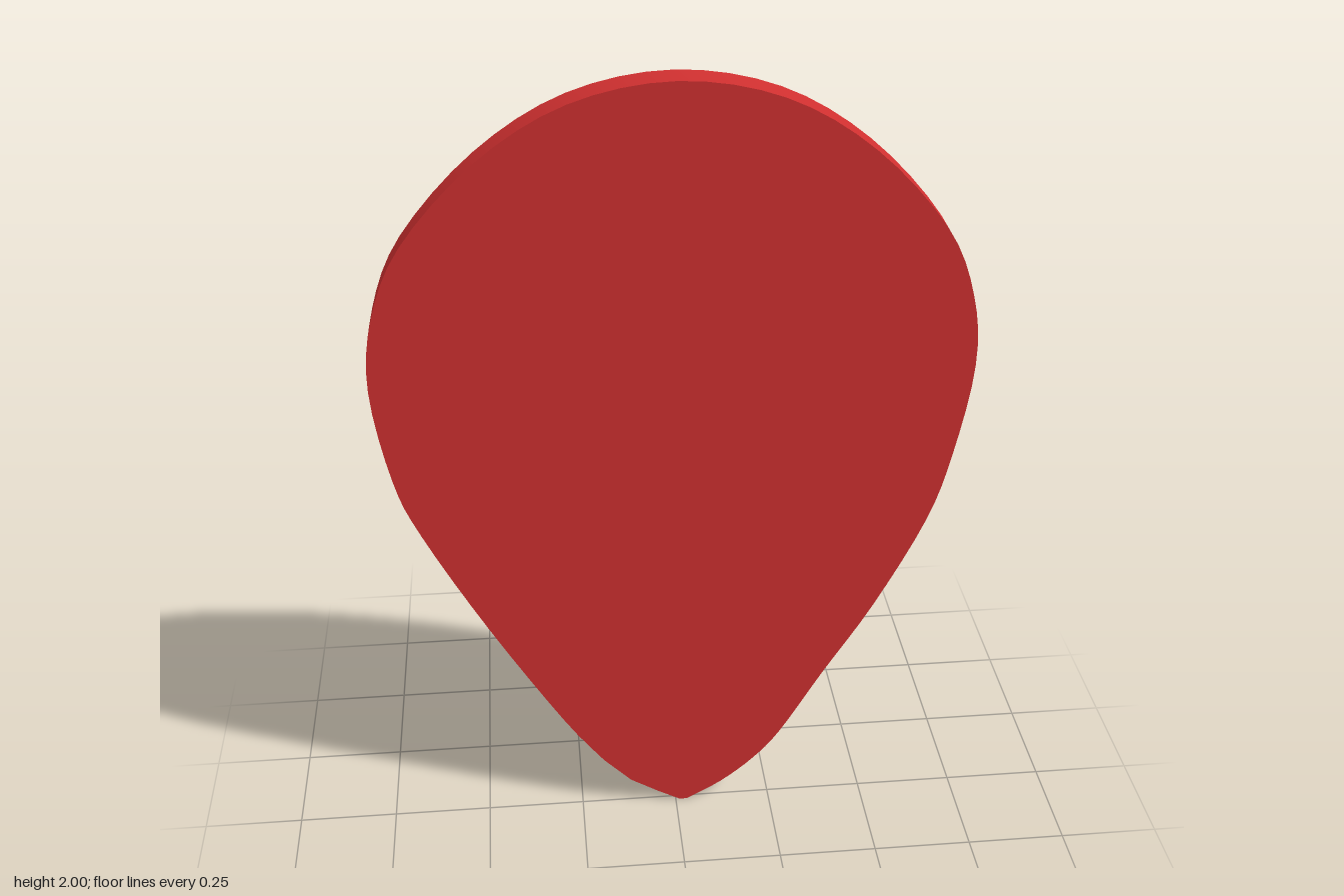
import * as THREE from 'three';

// Half thickness grows steadily from the tip to the rounded end
const half = (y) => 0.013 + 0.0122 * y;

// Flat cap on the front (side = 1) or back (side = -1)
function cap(points, side) {
  const geometry = new THREE.ShapeGeometry(new THREE.Shape(points));
  const pos = geometry.attributes.position;
  for (let i = 0; i < pos.count; i++) pos.setZ(i, side * half(pos.getY(i)));
  if (side < 0) geometry.index.array.reverse();
  geometry.computeVertexNormals();
  return geometry;
}

export function createModel() {
  const group = new THREE.Group();
  group.name = 'petal';
  const material = new THREE.MeshStandardMaterial({ color: 0xd03030 });
  const add = (name, geometry) => {
    const mesh = new THREE.Mesh(geometry, material);
    mesh.name = name;
    group.add(mesh);
  };

  // Outline, anticlockwise from the tip
  const v = (p) => new THREE.Vector2(...p);
  const outline = new THREE.SplineCurve([
    [0.03, 0], [0.12, 0.055], [0.205, 0.13], [0.275, 0.22], [0.38, 0.41],
    [0.5, 0.62], [0.615, 0.87], [0.665, 1.06], [0.697, 1.3], [0.675, 1.48],
    [0.6, 1.65], [0.43, 1.835], [0.23, 1.957], [0, 2], [-0.23, 1.957],
    [-0.43, 1.835], [-0.6, 1.65], [-0.675, 1.48], [-0.698, 1.3], [-0.665, 1.06],
    [-0.61, 0.9], [-0.466, 0.61], [-0.29, 0.3], [-0.19, 0.155],
  ].map(v)).getPoints(92);

  // Short stretch beside the tip where the back is cut straight across
  const chamfer = [[-0.12, 0.08], [-0.05, 0.035], [0.01, 0]].map(v);
  const front = [...outline, ...chamfer];

  add('frontFace', cap(front, 1));
  add('backFace', cap(outline, -1));

  // Edge wall; along the chamfer every back corner gathers at the tip
  const positions = [];
  const index = [];
  front.concat(front[0]).forEach((p, i) => {
    const b = i < outline.length ? p : front[0];
    positions.push(p.x, p.y, half(p.y), b.x, b.y, -half(b.y));
    if (i > 0) {
      const f = 2 * i;
      index.push(f - 2, f - 1, f + 1, f - 2, f + 1, f);
    }
  });
  const edge = new THREE.BufferGeometry();
  edge.setAttribute('position', new THREE.Float32BufferAttribute(positions, 3));
  edge.setIndex(index);
  edge.computeVertexNormals();
  add('edge', edge);

  return group;
}
